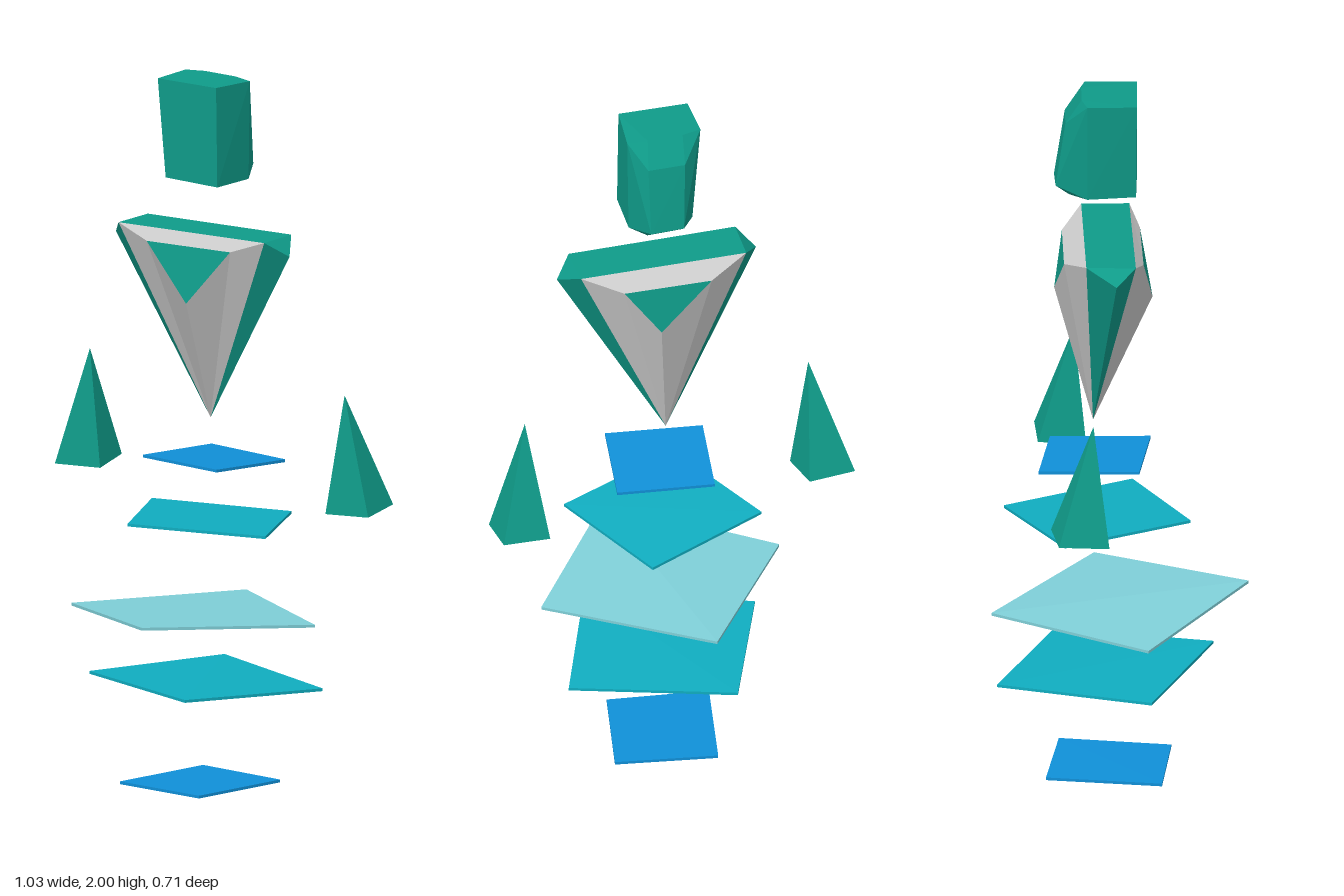
import * as THREE from 'three';
import { ConvexGeometry } from 'three/addons/geometries/ConvexGeometry.js';

const TEAL = 0x0f9b89, GREY = 0xcccccc, BLUE = 0x1090d8, CYAN = 0x10adc0, PALE = 0x7fcfd8;

function mesh(name, geometry, color) {
  const m = new THREE.Mesh(geometry, new THREE.MeshStandardMaterial({ color, flatShading: true }));
  m.name = name;
  return m;
}

// Convex solid wrapped around its corner points
const hull = (name, corners, color) =>
  mesh(name, new ConvexGeometry(corners.map(c => new THREE.Vector3(...c))), color);

// Flat facets from named corners, each turned to face away from a centre point
function facets(name, points, faces, centre, color) {
  const pos = [];
  for (const face of faces) {
    const v = face.split(' ').map(k => new THREE.Vector3(...points[k]));
    const n = v[1].clone().sub(v[0]).cross(v[2].clone().sub(v[0]));
    if (n.dot(v[0].clone().sub(centre)) < 0) v.reverse();
    for (let i = 1; i < v.length - 1; i++)
      for (const p of [v[0], v[i], v[i + 1]]) pos.push(p.x, p.y, p.z);
  }
  const g = new THREE.BufferGeometry();
  g.setAttribute('position', new THREE.Float32BufferAttribute(pos, 3));
  g.computeVertexNormals();
  return mesh(name, g, color);
}

// Thin tilted slab: four top corners, extended down by its thickness
const plate = (name, corners, color) =>
  hull(name, [...corners, ...corners.map(([x, y, z]) => [x, y - 0.008, z])], color);

export function createModel() {
  const model = new THREE.Group();
  model.name = 'floatingFigure';

  // Head: block with a bevelled back
  model.add(hull('head', [
    [-0.095, 2, 0.052], [0.102, 1.997, 0.055], [-0.095, 2, -0.085], [0.116, 1.992, -0.09],
    [-0.04, 2, -0.1], [0.06, 1.997, -0.1],
    [-0.035, 1.93, -0.145], [0.07, 1.928, -0.145],
    [-0.025, 1.74, -0.172], [0.07, 1.738, -0.175],
    [-0.025, 1.714, -0.135], [0.07, 1.71, -0.135],
    [-0.07, 1.722, 0.05], [0.106, 1.716, 0.055], [-0.072, 1.716, -0.085], [0.112, 1.715, -0.09],
  ], TEAL));

  // Torso: wide top tapering to a point, with triangular chest and back panels
  const p = {
    t0: [-0.23, 1.575, 0.047], t1: [0.25, 1.573, 0.036], t2: [0.25, 1.573, -0.097], t3: [-0.225, 1.575, -0.09],
    l: [-0.275, 1.535, -0.007], r: [0.298, 1.53, -0.018],
    f0: [-0.12, 1.54, 0.07], f1: [0.155, 1.54, 0.064], f2: [0.03, 1.385, 0.097],
    b0: [-0.11, 1.54, -0.15], b1: [0.14, 1.54, -0.152], b2: [0.04, 1.41, -0.175],
    tip: [0, 1.03, -0.068],
  };
  const centre = new THREE.Vector3(0.01, 1.45, -0.03);
  const torso = new THREE.Group();
  torso.name = 'torso';
  torso.add(
    facets('torsoArmour', p, [
      't0 t1 t2 t3', 't0 t3 l', 't1 t2 r', 'l t0 tip', 'l t3 tip', 'r t1 tip', 'r t2 tip',
      'f0 f1 f2', 'b0 b1 b2',
    ], centre, TEAL),
    facets('torsoCore', p, [
      't0 t1 f1 f0', 't0 f0 tip', 'f0 f2 tip', 't1 f1 tip', 'f1 f2 tip',
      't3 t2 b1 b0', 't3 b0 tip', 'b0 b2 tip', 't2 b1 tip', 'b1 b2 tip',
    ], centre, GREY),
  );
  model.add(torso);

  // Hands: four-sided spikes, first corner is the tip
  model.add(hull('rightHand', [
    [-0.407, 1.175, -0.073],
    [-0.515, 0.858, -0.17], [-0.38, 0.858, -0.19], [-0.36, 0.845, -0.054], [-0.495, 0.845, -0.03],
  ], TEAL));
  model.add(hull('leftHand', [
    [0.416, 1.135, -0.115],
    [0.37, 0.812, -0.215], [0.505, 0.818, -0.223], [0.512, 0.805, -0.09], [0.375, 0.8, -0.081],
  ], TEAL));

  // Lower body: stack of tilted floating plates, top to bottom
  const plates = [
    [BLUE, [[-0.1, 0.916, -0.22], [0.17, 0.911, -0.185], [0.13, 0.927, 0.093], [-0.14, 0.93, 0.058]]],
    [CYAN, [[0.103, 0.733, -0.313], [-0.252, 0.756, -0.15], [-0.095, 0.766, 0.2], [0.26, 0.746, 0.045]]],
    [PALE, [[-0.072, 0.483, -0.35], [0.354, 0.488, -0.06], [0.063, 0.52, 0.363], [-0.365, 0.487, 0.08]]],
    [CYAN, [[-0.135, 0.295, -0.335], [0.305, 0.282, -0.17], [0.142, 0.308, 0.267], [-0.298, 0.304, 0.09]]],
    [BLUE, [[-0.115, 0.008, -0.2], [0.17, 0.009, -0.16], [0.11, 0.012, 0.15], [-0.175, 0.012, 0.12]]],
  ];
  plates.forEach(([color, corners], i) => model.add(plate(`bodyPlate${i + 1}`, corners, color)));

  return model;
}
